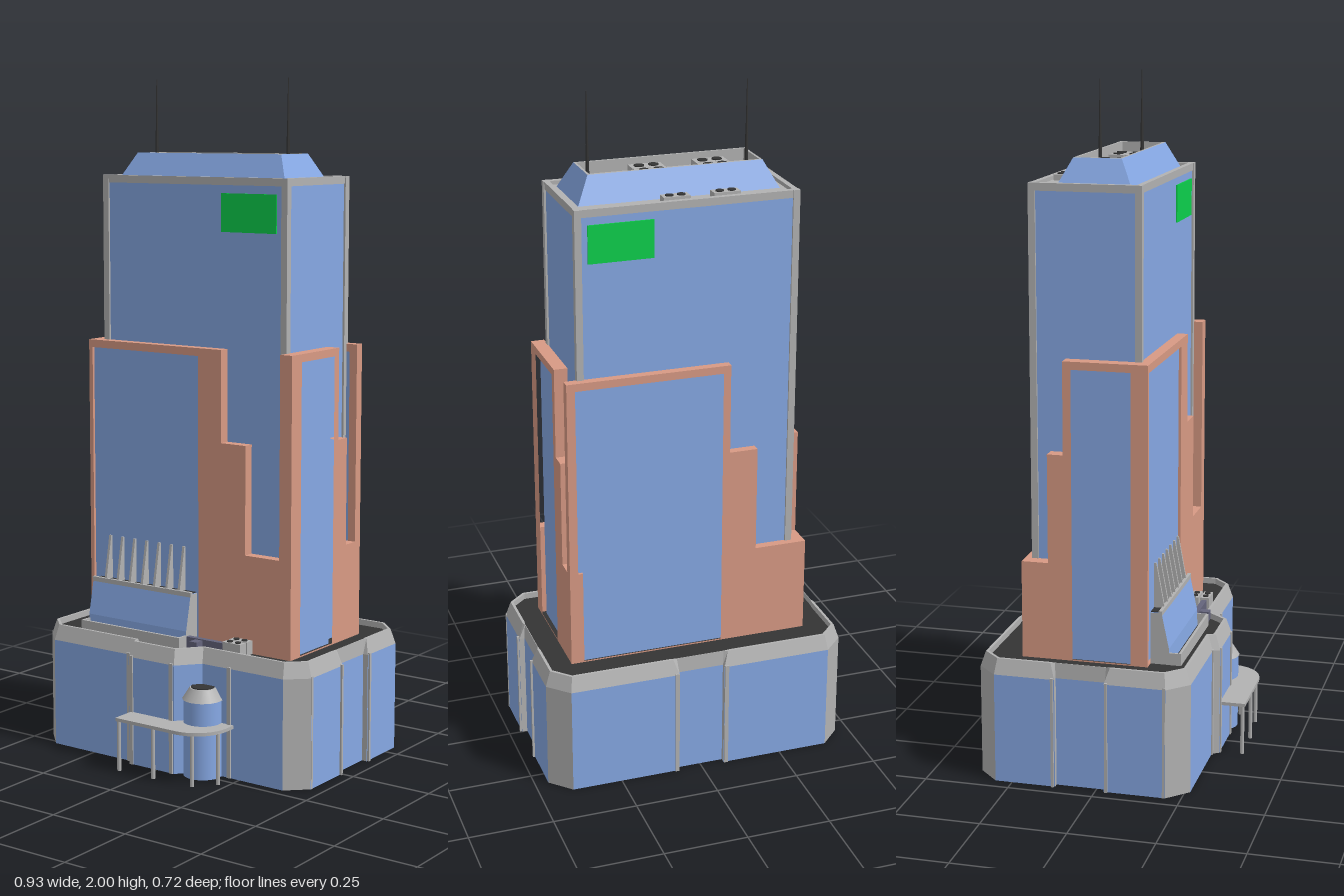
import * as THREE from 'three';

const mat = (name, color, side = THREE.FrontSide) => {
  const m = new THREE.MeshStandardMaterial({ color, side });
  m.name = name;
  return m;
};

export function createModel() {
  const root = new THREE.Group();
  root.name = 'skyscraper';
  const blue = mat('blue glass', 0x86a8e4, THREE.DoubleSide);
  const grey = mat('grey concrete', 0xb2b2b2, THREE.DoubleSide);
  const terracotta = mat('terracotta cladding', 0xd89a84);
  const dark = mat('dark roofing', 0x343434, THREE.DoubleSide);
  const green = mat('green panel', 0x0cd04c);
  const slate = mat('slate duct', 0x64647c);

  const add = (name, geo, material, parent = root) => {
    const m = new THREE.Mesh(geo, material);
    m.name = name;
    parent.add(m);
    return m;
  };
  // box given by its extents
  const box = (name, material, x0, x1, y0, y1, z0, z1) => {
    const m = add(name, new THREE.BoxGeometry(x1 - x0, y1 - y0, z1 - z0), material);
    m.position.set((x0 + x1) / 2, (y0 + y1) / 2, (z0 + z1) / 2);
    return m;
  };
  const cyl = (name, material, rTop, rBot, y0, y1, x, z, seg = 10) => {
    const m = add(name, new THREE.CylinderGeometry(rTop, rBot, y1 - y0, seg), material);
    m.position.set(x, (y0 + y1) / 2, z);
    return m;
  };
  const toShape = (pts) => new THREE.Shape(pts.map(([a, b]) => new THREE.Vector2(a, b)));
  // profile of [z, y] points swept along x
  const extrudeX = (name, shape, x0, x1, material) => {
    const m = add(name, new THREE.ExtrudeGeometry(shape, { depth: x1 - x0, bevelEnabled: false }), material);
    m.rotation.y = -Math.PI / 2;
    m.position.x = x1;
    return m;
  };
  // band of quads between two closed loops of [x, z] points
  const band = (name, lower, y0, upper, y1, material, keep = () => true) => {
    const v = [];
    lower.forEach((a, i) => {
      if (!keep(i)) return;
      const j = (i + 1) % lower.length, b = lower[j], c = upper[i], d = upper[j];
      v.push(b[0], y0, b[1], a[0], y0, a[1], c[0], y1, c[1]);
      v.push(b[0], y0, b[1], c[0], y1, c[1], d[0], y1, d[1]);
    });
    const g = new THREE.BufferGeometry();
    g.setAttribute('position', new THREE.Float32BufferAttribute(v, 3));
    g.computeVertexNormals();
    return add(name, g, material);
  };
  // inward mitred offset; a third value scales the inset at that corner
  const inset = (loop, d) => loop.map((p, i) => {
    const n = loop.length, a = loop[(i + n - 1) % n], b = loop[(i + 1) % n];
    const n1 = new THREE.Vector2(a[1] - p[1], p[0] - a[0]).normalize();
    const n2 = new THREE.Vector2(p[1] - b[1], b[0] - p[0]).normalize();
    const s = (d * (p[2] ?? 1)) / (1 + n1.dot(n2));
    return [p[0] + (n1.x + n2.x) * s, p[1] + (n1.y + n2.y) * s];
  });
  const floor = (name, loop, y, material) => {
    const m = add(name, new THREE.ShapeGeometry(toShape(loop.map(([x, z]) => [x, -z]))), material);
    m.rotation.x = -Math.PI / 2;
    m.position.y = y;
  };
  const rect = (x, z0, z1) => [[-x, z0], [x, z0], [x, z1], [-x, z1]];

  // podium: open below, chamfered corners, recessed bays
  const k = 0.2;
  const plan = [
    [-0.46, -0.30], [-0.40, -0.36], [-0.07, -0.36], [-0.07, -0.344, k], [0.07, -0.344, k], [0.07, -0.36],
    [0.40, -0.36], [0.46, -0.30], [0.46, -0.14], [0.444, -0.14, k], [0.444, 0, k], [0.46, 0],
    [0.46, 0.165], [0.40, 0.22], [0.12, 0.22], [0.065, 0.285], [-0.10, 0.285], [-0.11, 0.265],
    [-0.40, 0.265], [-0.46, 0.205], [-0.46, 0.025], [-0.444, 0.025, k], [-0.444, -0.12, k], [-0.46, -0.12],
  ];
  const isCorner = (i) => {
    const a = plan[i], b = plan[(i + 1) % plan.length];
    return Math.hypot(a[0] - b[0], a[1] - b[1]) < 0.0855 && Math.abs(a[1] - b[1]) < 0.062;
  };
  band('podiumGlass', plan, 0, plan, 0.325, blue, (i) => !isCorner(i));
  band('podiumCorners', plan, 0, plan, 0.325, grey, isCorner);
  const rimOut = inset(plan, 0.015), rimIn = inset(plan, 0.023);
  band('parapetBevel', plan, 0.325, rimOut, 0.37, grey);
  band('parapetTop', rimOut, 0.37, rimIn, 0.37, grey);
  band('parapetInside', rimIn, 0.37, rimIn, 0.35, grey);
  floor('podiumRoof', rimIn, 0.352, dark);
  const posts = [[-0.09, 0.285], [0.055, 0.285], [-0.115, 0.265], [0.215, 0.22], [0.077, -0.36], [-0.077, -0.36],
    [0.46, 0.007], [0.46, -0.147], [-0.46, 0.032], [-0.46, -0.127], [0.455, 0.16], [-0.455, 0.2]];
  for (const [x, z] of posts) box('podiumMullion', grey, x - 0.006, x + 0.006, 0, 0.33, z - 0.004, z + 0.004);

  // tower shaft with corner posts and top band
  box('towerGlass', blue, -0.322, 0.322, 0.352, 1.705, -0.217, 0.097);
  for (const x of [-0.318, 0.318]) {
    for (const z of [-0.213, 0.093]) box('towerCornerPost', grey, x - 0.01, x + 0.01, 0.352, 1.72, z - 0.01, z + 0.01);
    box('towerSideBand', grey, x - 0.008, x + 0.008, 1.698, 1.72, -0.22, 0.1);
  }
  for (const z of [-0.213, 0.093]) box('towerBand', grey, -0.325, 0.325, 1.698, 1.72, z - 0.008, z + 0.008);
  floor('towerRoof', rect(0.32, -0.215, 0.095), 1.709, grey);

  // sloped crown with a sunken roof
  const crownLow = rect(0.295, -0.15, 0.065), crownTop = rect(0.256, -0.112, 0.027), crownIn = inset(crownTop, 0.007);
  band('crownSlopes', crownLow, 1.709, crownTop, 1.785, blue);
  band('crownRim', crownTop, 1.785, crownIn, 1.785, grey);
  band('crownInside', crownIn, 1.785, crownIn, 1.75, grey);
  floor('crownRoof', crownIn, 1.75, grey);

  // green panels, front and back
  box('frontGreenPanel', green, 0.1, 0.29, 1.565, 1.675, 0.096, 0.101);
  box('backGreenPanel', green, 0.1, 0.29, 1.565, 1.675, -0.221, -0.216);

  // stepped terracotta frames, each with a glazed opening
  const y0 = 0.352;
  const steppedFrame = (a, s1, s2, e, h0, h1) => {
    const s = toShape([[a, y0], [e, y0], [e, 0.64], [s2, 0.64], [s2, 0.96], [s1, 0.96], [s1, 1.23], [a, 1.23]]);
    s.holes.push(new THREE.Path([[h0, 0.356], [h1, 0.356], [h1, 1.207], [h0, 1.207]].map((p) => new THREE.Vector2(...p))));
    return s;
  };
  const plate = (name, shape, z0, z1) => {
    const g = new THREE.ExtrudeGeometry(shape, { depth: z1 - z0, bevelEnabled: false });
    add(name, g, terracotta).position.z = z0;
  };
  plate('frontFrame', steppedFrame(-0.365, 0.122, 0.207, 0.365, -0.352, 0.04), 0.098, 0.13);
  box('frontFrameGlass', blue, -0.355, 0.045, y0, 1.21, 0.1, 0.122);
  plate('backFrame', steppedFrame(0.365, -0.122, -0.207, -0.365, 0.34, -0.1), -0.243, -0.215);
  box('backFrameGlass', blue, -0.105, 0.345, y0, 1.21, -0.232, -0.217);
  extrudeX('leftFrame', steppedFrame(0.13, -0.117, -0.164, -0.24, 0.08, -0.093), 0.325, 0.365, terracotta);
  extrudeX('rightFrame', steppedFrame(0.1, -0.117, -0.164, -0.24, 0.08, -0.093), -0.365, -0.325, terracotta);
  box('leftFrameGlass', blue, 0.32, 0.35, y0, 1.21, -0.098, 0.085);
  box('rightFrameGlass', blue, -0.35, -0.32, y0, 1.21, -0.098, 0.085);

  // sloped glass hall on the podium roof, with fins
  const hall = [[0.13, y0], [0.187, y0], [0.184, 0.40], [0.162, 0.505], [0.13, 0.505]];
  extrudeX('glassHall', toShape(hall), -0.33, 0.035, [grey, blue]);
  box('hallRoof', dark, -0.325, 0.03, 0.5, 0.508, 0.13, 0.155);
  box('hallTopRail', grey, -0.332, 0.037, 0.498, 0.512, 0.154, 0.164);
  for (let i = 0; i < 7; i++) {
    const x = -0.285 + i * 0.0458;
    extrudeX('hallFin', toShape([[0.13, 0.5], [0.162, 0.5], [0.136, 0.64], [0.13, 0.64]]), x - 0.004, x + 0.004, grey);
  }
  box('hallFrontRail', grey, -0.33, 0.035, y0, 0.388, 0.212, 0.22);
  for (const x of [-0.328, 0.033]) box('hallEndRail', grey, x - 0.003, x + 0.003, y0, 0.388, 0.18, 0.22);

  // cooling units with fans
  const cooler = (x0, x1, z0, z1, y, h, cols, rows, r) => {
    box('coolingUnit', grey, x0, x1, y, y + h, z0, z1);
    for (let c = 0; c < cols; c++) for (let w = 0; w < rows; w++) {
      const x = x0 + ((c + 0.5) * (x1 - x0)) / cols, z = z0 + ((w + 0.5) * (z1 - z0)) / rows;
      const inner = (x - (x0 + x1) / 2) * 0.9 + (x0 + x1) / 2;
      cyl('fan', dark, r, r, y + h - 0.002, y + h + 0.003, inner, z, 12);
    }
  };
  for (const x of [-0.182, 0.007]) for (const z of [-0.082, -0.034]) cooler(x, x + 0.095, z, z + 0.045, 1.749, 0.02, 2, 1, 0.015);
  for (const x of [-0.16, -0.013]) cooler(x, x + 0.078, -0.198, -0.164, 1.708, 0.018, 2, 1, 0.012);
  for (const z of [0.13, 0.163]) cooler(0.17, 0.233, z, z + 0.028, y0, 0.04, 2, 1, 0.009);
  box('duct', slate, 0.035, 0.17, y0, 0.385, 0.168, 0.184);
  box('ductBranch', slate, 0.068, 0.094, y0, 0.382, 0.184, 0.213);

  // antennas
  for (const x of [-0.235, 0.235]) {
    cyl('antennaBase', dark, 0.004, 0.006, 1.75, 1.85, x, -0.04, 8);
    cyl('antennaTip', dark, 0.0015, 0.0035, 1.85, 2, x, -0.04, 8);
  }

  // round entrance tower
  cyl('entranceDrum', blue, 0.057, 0.057, 0, 0.23, 0.133, 0.236, 24);
  cyl('entranceCap', grey, 0.038, 0.06, 0.228, 0.262, 0.133, 0.236, 24);
  cyl('entranceCapTop', dark, 0.034, 0.034, 0.26, 0.265, 0.133, 0.236, 24);

  // canopy with one rounded corner, on slim legs
  const c = new THREE.Shape();
  c.moveTo(-0.092, -0.27);
  c.lineTo(-0.092, -0.36);
  c.lineTo(0.125, -0.36);
  c.absarc(0.125, -0.255, 0.105, -Math.PI / 2, 0, false);
  c.lineTo(0.23, -0.215);
  c.lineTo(0.12, -0.215);
  c.lineTo(0.065, -0.27);
  const canopy = add('canopy', new THREE.ExtrudeGeometry(c, { depth: 0.01, bevelEnabled: false, curveSegments: 12 }), grey);
  canopy.rotation.x = -Math.PI / 2;
  canopy.position.y = 0.15;
  for (const [x, z] of [[-0.085, 0.352], [0.04, 0.352], [0.172, 0.342], [0.222, 0.285]]) {
    cyl('canopyLeg', grey, 0.006, 0.006, 0, 0.152, x, z, 8);
  }
  return root;
}
